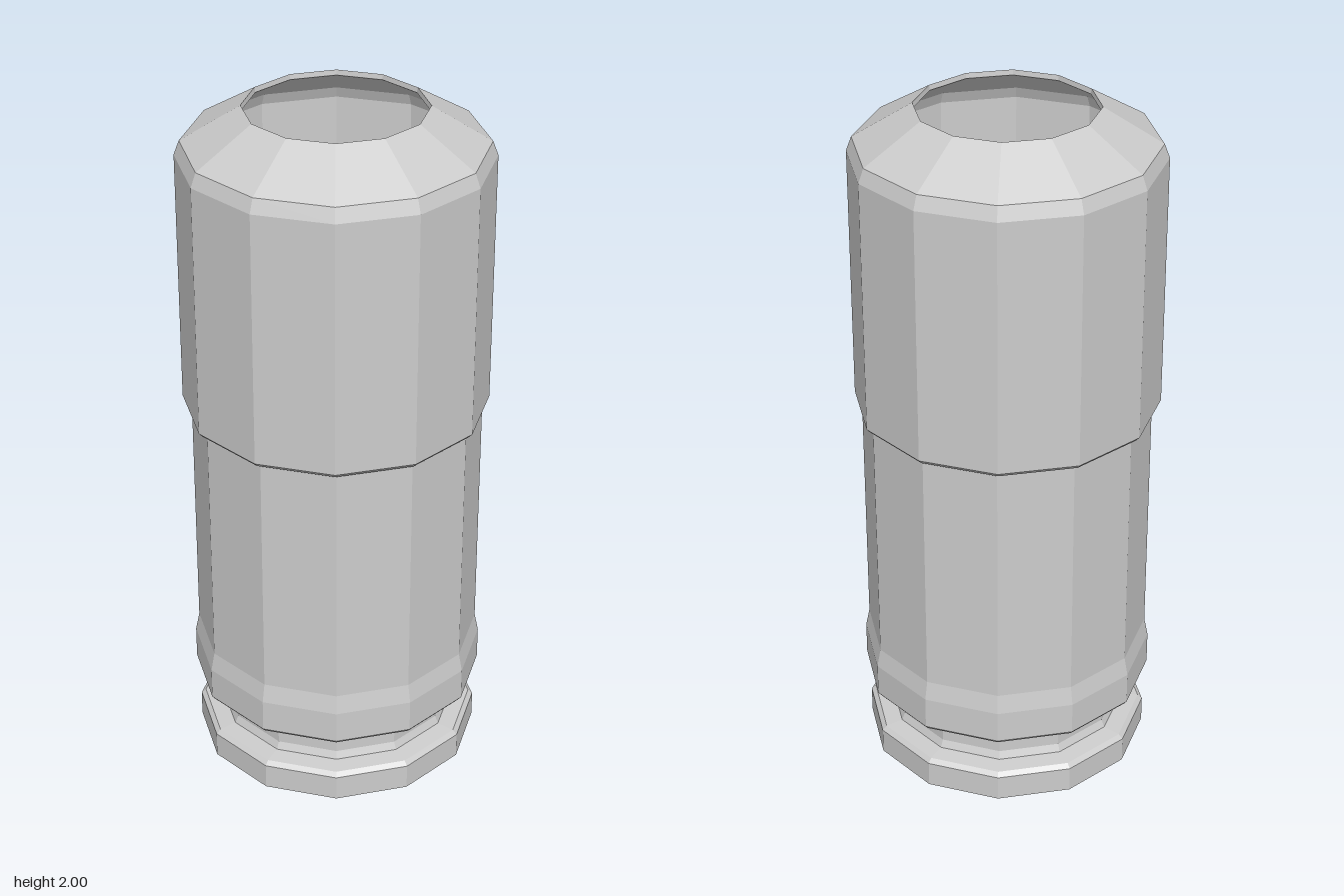
import * as THREE from 'three';

const SIDES = 12;
const TURN = THREE.MathUtils.degToRad(11.6);

// Revolves a closed [radius, height] outline into a faceted ring
function turned(name, outline, material) {
  const points = [...outline, outline[0]].map(([r, y]) => new THREE.Vector2(r, y));
  const mesh = new THREE.Mesh(new THREE.LatheGeometry(points, SIDES, TURN), material);
  mesh.name = name;
  return mesh;
}

export function createModel() {
  const group = new THREE.Group();
  group.name = 'hollowCasing';
  const material = new THREE.MeshStandardMaterial({
    color: 0xcccccc, flatShading: true, side: THREE.DoubleSide,
  });

  // Flanged base, grooved neck and straight body, all thin-walled
  const casingOutside = [
    [0.25, 0], [0.375, 0.005], [0.408, 0.025], [0.408, 0.1], [0.395, 0.112],
    [0.345, 0.118], [0.335, 0.14], [0.335, 0.21], [0.35, 0.225], [0.41, 0.23],
    [0.418, 0.24], [0.418, 0.335], [0.407, 0.39], [0.407, 1.13],
  ];
  const casingInside = [
    [0.392, 1.13], [0.392, 0.39], [0.403, 0.335], [0.403, 0.245], [0.345, 0.24],
    [0.32, 0.215], [0.32, 0.135], [0.335, 0.103], [0.393, 0.097], [0.393, 0.03],
    [0.37, 0.02], [0.25, 0.012],
  ];
  group.add(turned('casing', [...casingOutside, ...casingInside], material));

  // Wider upper sleeve closing in to the open mouth
  const sleeve = turned('sleeve', [
    [0.392, 1.118], [0.418, 1.118], [0.429, 1.13], [0.429, 1.86], [0.414, 1.9],
    [0.25, 2], [0.248, 1.985], [0.4, 1.888], [0.414, 1.855], [0.414, 1.135], [0.392, 1.13],
  ], material);
  sleeve.position.x = -0.003;
  group.add(sleeve);

  return group;
}
